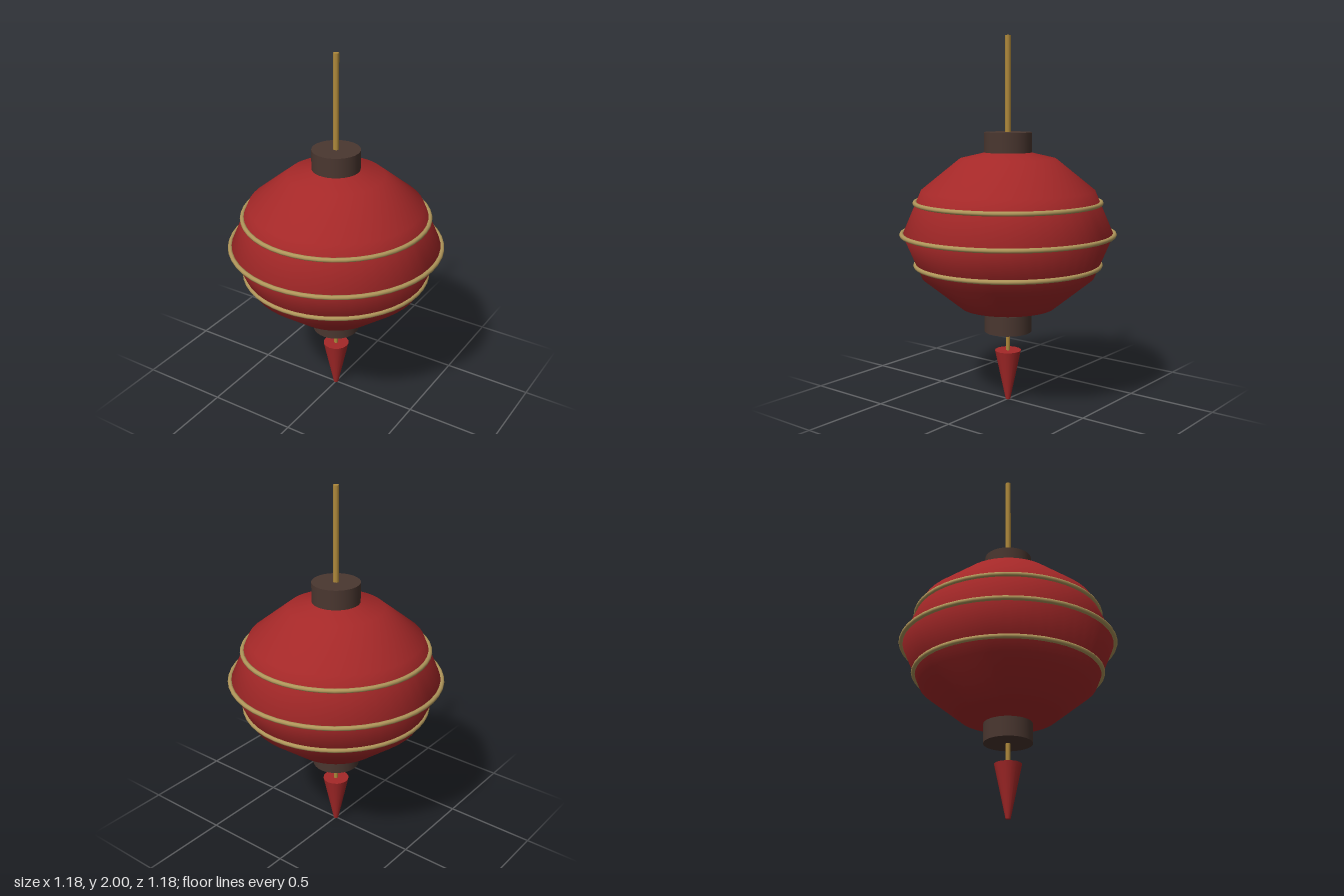
import * as THREE from 'three';

export function createModel() {
  const model = new THREE.Group();
  model.name = 'paperLantern';

  const mat = (name, color) => {
    const m = new THREE.MeshStandardMaterial({ color });
    m.name = name;
    return m;
  };
  const red = mat('red paper', 0xa52828);
  const brown = mat('dark wood', 0x4a3730);
  const gold = mat('gold cord', 0xb08a3c);
  const paleGold = mat('pale gold hoop', 0xb0965a);

  const add = (name, geometry, material, y = 0) => {
    const mesh = new THREE.Mesh(geometry, material);
    mesh.name = name;
    mesh.position.y = y;
    model.add(mesh);
    return mesh;
  };
  // Upright round part between two heights
  const round = (name, bottom, top, rBottom, rTop, sides, material) =>
    add(name, new THREE.CylinderGeometry(rTop, rBottom, top - bottom, sides), material, (top + bottom) / 2);

  // Lantern body: faceted in profile, round in plan, mirrored about its middle
  const centreY = 0.94;
  const half = [[0, 0.468], [0.26, 0.407], [0.472, 0.236]];
  const profile = [
    ...half.map(([r, y]) => new THREE.Vector2(r, -y)),
    new THREE.Vector2(0.573, 0),
    ...half.slice().reverse().map(([r, y]) => new THREE.Vector2(r, y)),
  ];
  add('lanternBody', new THREE.LatheGeometry(profile, 48), red, centreY);

  // Hoops around the body
  const hoops = [['upperHoop', 0.17, 0.505], ['middleHoop', 0, 0.578], ['lowerHoop', -0.17, 0.505]];
  for (const [name, dy, radius] of hoops) {
    const hoop = new THREE.TorusGeometry(radius, 0.0125, 8, 48).rotateX(Math.PI / 2);
    add(name, hoop, paleGold, centreY + dy);
  }

  // Caps
  round('topCap', 1.38, 1.488, 0.13, 0.13, 32, brown);
  round('bottomCap', 0.392, 0.498, 0.13, 0.13, 32, brown);

  // Cords and tassel
  round('hangingCord', 1.48, 2, 0.016, 0.016, 8, gold);
  round('tasselCord', 0.27, 0.4, 0.0125, 0.0125, 8, gold);
  round('tassel', 0, 0.282, 0.013, 0.073, 16, red);

  return model;
}
